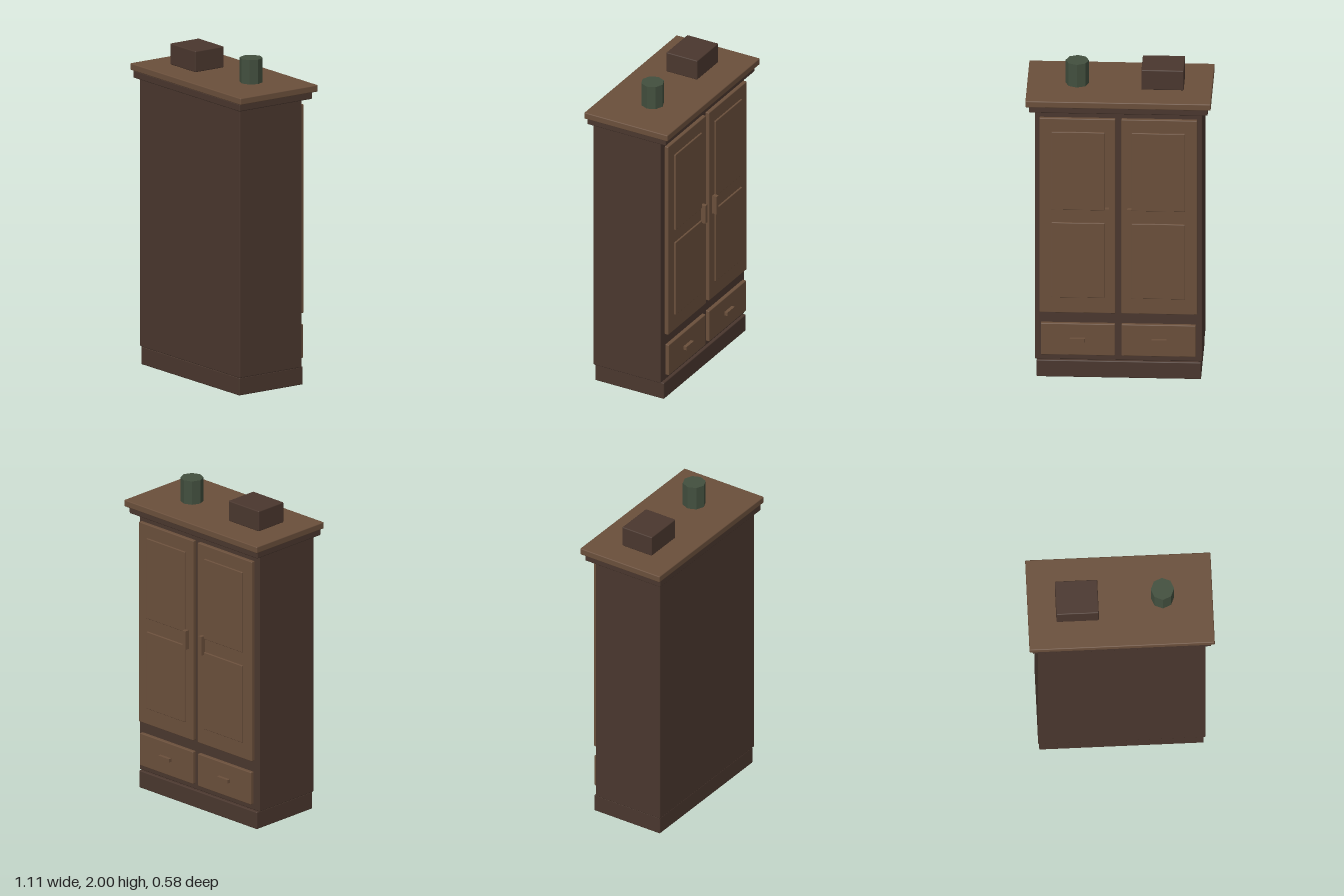
import * as THREE from 'three';
import { RoundedBoxGeometry } from 'three/addons/geometries/RoundedBoxGeometry.js';

const mat = (name, color, flatShading = false) => {
  const m = new THREE.MeshStandardMaterial({ color, flatShading });
  m.name = name;
  return m;
};

export function createModel() {
  const darkWood = mat('dark wood', 0x4a372e);
  const wood = mat('medium wood', 0x6a4f3b);
  const green = mat('green glaze', 0x424f3e, true);
  const root = new THREE.Group();
  root.name = 'cupboard';

  // Box given by its [min, max] range on each axis; bevel 0 keeps sharp edges
  function box(name, material, [x0, x1], [y0, y1], [z0, z1], bevel = 0.006) {
    const size = [x1 - x0, y1 - y0, z1 - z0];
    const geo = bevel
      ? new RoundedBoxGeometry(...size, 2, bevel)
      : new THREE.BoxGeometry(...size);
    const mesh = new THREE.Mesh(geo, material);
    mesh.name = name;
    mesh.position.set((x0 + x1) / 2, (y0 + y1) / 2, (z0 + z1) / 2);
    root.add(mesh);
  }

  // Carcass, plinth and two-step cornice
  box('plinth', darkWood, [-0.495, 0.49], [0, 0.11], [-0.226, 0.25]);
  box('carcass', darkWood, [-0.502, 0.502], [0.11, 1.765], [-0.21, 0.255]);
  box('lowerCornice', darkWood, [-0.536, 0.534], [1.763, 1.808], [-0.264, 0.28]);
  box('topBoard', wood, [-0.555, 0.555], [1.808, 1.85], [-0.288, 0.288]);

  // Doors and drawers, mirrored about the middle
  for (const s of [1, -1]) {
    const side = s > 0 ? 'left' : 'right';
    const span = (centre, width) => [s * centre - width / 2, s * centre + width / 2];
    box(side + 'Door', wood, span(0.245, 0.455), [0.435, 1.72], [-0.246, -0.22], 0.005);
    box(side + 'UpperPanel', wood, span(0.24, 0.32), [1.12, 1.635], [-0.256, -0.24], 0.004);
    box(side + 'LowerPanel', wood, span(0.24, 0.32), [0.54, 1.035], [-0.256, -0.24], 0.004);
    box(side + 'DoorHandle', wood, span(0.067, 0.025), [1.017, 1.137], [-0.276, -0.244], 0);
    box(side + 'Drawer', wood, span(0.242, 0.445), [0.155, 0.363], [-0.246, -0.22], 0.005);
    box(side + 'DrawerHandle', wood, span(0.245, 0.09), [0.25, 0.272], [-0.267, -0.244], 0);
  }

  // Things standing on top
  box('storageBox', darkWood, [-0.386, -0.132], [1.85, 1.98], [-0.098, 0.116]);
  const jar = new THREE.Mesh(new THREE.CylinderGeometry(0.07, 0.07, 0.15, 8), green);
  jar.name = 'jar';
  jar.position.set(0.255, 1.925, -0.013);
  root.add(jar);

  return root;
}
